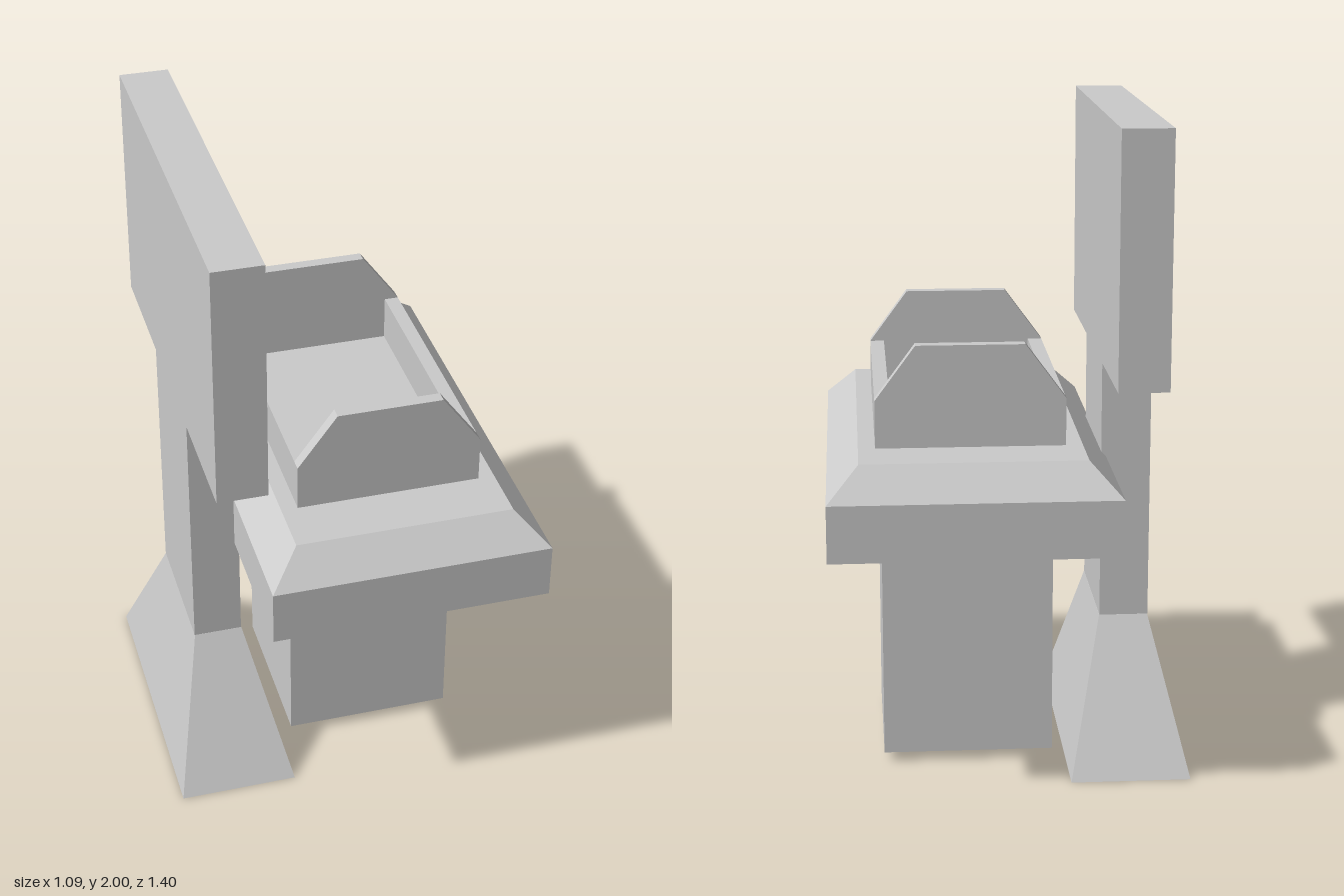
import * as THREE from 'three';

const material = new THREE.MeshStandardMaterial({ color: 0xcccccc, flatShading: true });

function add(group, name, geometry, x = 0, y = 0, z = 0) {
  const mesh = new THREE.Mesh(geometry, material);
  mesh.name = name;
  mesh.position.set(x, y, z);
  group.add(mesh);
  return mesh;
}

// Box given by its extents on each axis
function block(group, name, [x0, x1], [y0, y1], [z0, z1]) {
  return add(group, name, new THREE.BoxGeometry(x1 - x0, y1 - y0, z1 - z0),
    (x0 + x1) / 2, (y0 + y1) / 2, (z0 + z1) / 2);
}

// Box whose top is scaled towards its own vertical axis
function frustum(w, h, d, topW, topD) {
  const g = new THREE.BoxGeometry(w, h, d);
  const p = g.attributes.position;
  for (let i = 0; i < p.count; i++) {
    if (p.getY(i) > 0) {
      p.setX(i, p.getX(i) * topW / w);
      p.setZ(i, p.getZ(i) * topD / d);
    }
  }
  g.computeVertexNormals();
  return g;
}

function extrude(points, depth) {
  const shape = new THREE.Shape(points.map(([x, y]) => new THREE.Vector2(x, y)));
  return new THREE.ExtrudeGeometry(shape, { depth, bevelEnabled: false });
}

export function createModel() {
  const model = new THREE.Group();
  model.name = 'consoleWithBackboard';

  // Flared foot and T-shaped backboard
  add(model, 'backboardFoot', frustum(0.365, 0.45, 0.93, 0.15, 0.435), -0.364, 0.225, 0);
  const board = extrude([
    [-0.217, 0.45], [0.217, 0.45], [0.217, 1.25], [0.606, 1.25],
    [0.606, 2], [-0.606, 2], [-0.606, 1.25], [-0.217, 1.25],
  ], 0.15);
  board.rotateY(-Math.PI / 2);
  add(model, 'backboard', board, -0.29);

  // Pedestal and table top with sloped rim
  block(model, 'pedestal', [-0.14, 0.382], [0.03, 0.79], [-0.262, 0.262]);
  block(model, 'tableTop', [-0.304, 0.544], [0.79, 0.96], [-0.70, 0.70]);
  add(model, 'tableRim', frustum(0.848, 0.095, 1.40, 0.66, 1.214), 0.12, 1.0075, 0);

  // Open tray: low side walls between tall chamfered end panels
  const end = extrude([
    [-0.28, 1.055], [0.28, 1.055], [0.28, 1.197],
    [0.16, 1.36], [-0.16, 1.36], [-0.28, 1.197],
  ], 0.037);
  for (const [side, z] of [['front', 0.398], ['back', -0.435]]) {
    add(model, side + 'TrayEnd', end, 0.12, 0, z);
  }
  for (const [side, x] of [['right', -0.16], ['left', 0.356]]) {
    block(model, side + 'TrayWall', [x, x + 0.044], [1.055, 1.197], [-0.398, 0.398]);
  }
  return model;
}
